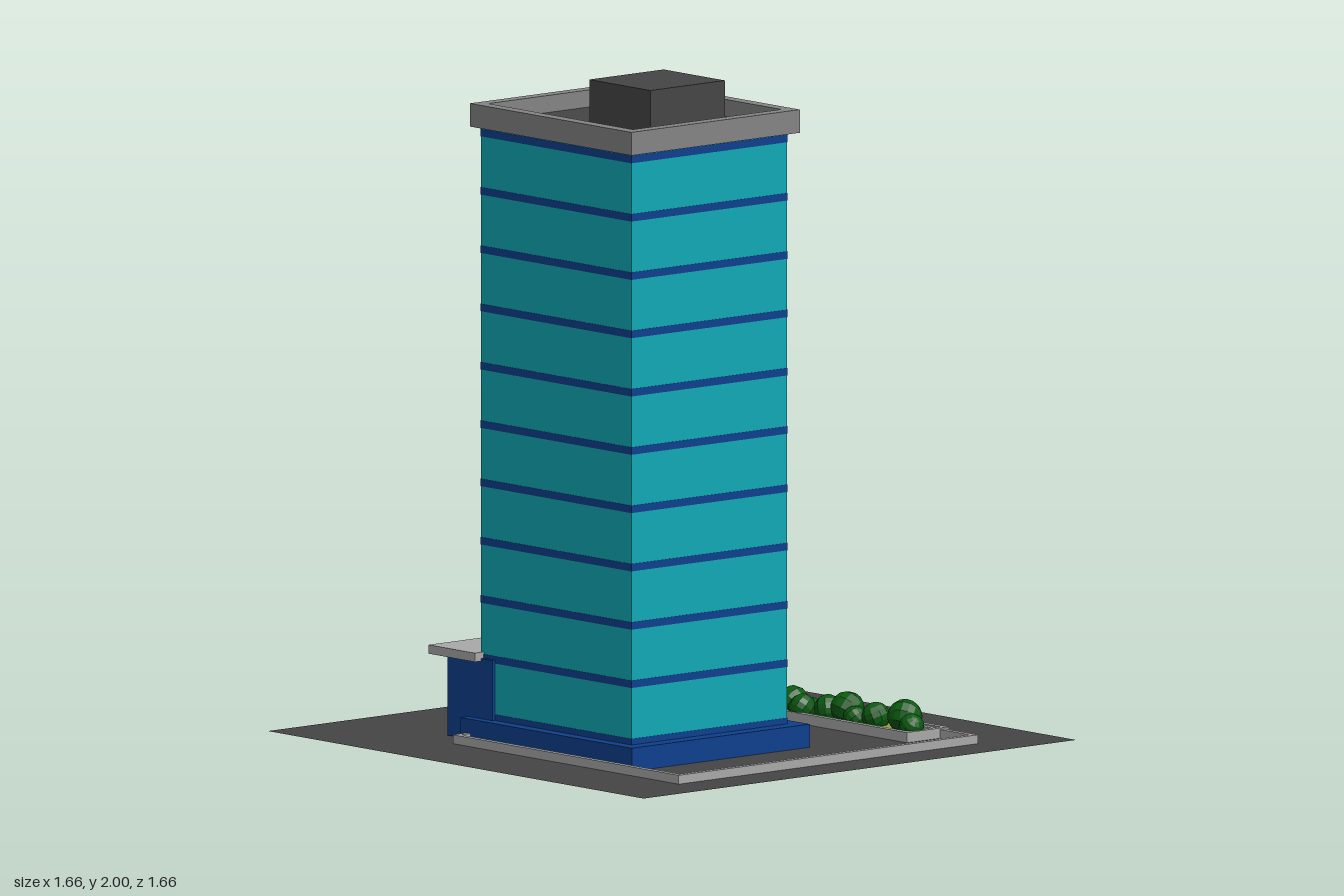
import * as THREE from 'three';

const mat = (name, color, extra = {}) => {
  const m = new THREE.MeshStandardMaterial({ color, ...extra });
  m.name = name;
  return m;
};

export function createModel() {
  const M = {
    asphalt: mat('asphalt', 0x454545, { side: THREE.DoubleSide }),
    concrete: mat('concrete', 0xa9a9a9),
    parapet: mat('parapetGrey', 0x848484),
    glass: mat('tealGlass', 0x0fa9b5),
    blue: mat('blue', 0x0d3f8c),
    soil: mat('soil', 0x969b45),
    leaf: mat('leaf', 0x0a5810, { flatShading: true }),
  };
  const model = new THREE.Group();
  model.name = 'officeTower';

  const group = (name) => {
    const g = new THREE.Group();
    g.name = name;
    model.add(g);
    return g;
  };
  // box given by its extents on each axis
  const box = (parent, name, material, [x0, x1], [y0, y1], [z0, z1]) => {
    const mesh = new THREE.Mesh(new THREE.BoxGeometry(x1 - x0, y1 - y0, z1 - z0), material);
    mesh.position.set((x0 + x1) / 2, (y0 + y1) / 2, (z0 + z1) / 2);
    mesh.name = name;
    parent.add(mesh);
    return mesh;
  };
  // rectangular rim with an open middle, extruded upwards
  const rim = (parent, name, material, [x0, x1], [y0, y1], [z0, z1], t) => {
    const rect = (P, a, b, c, d) => new P([[a, c], [b, c], [b, d], [a, d]].map(p => new THREE.Vector2(...p)));
    const shape = rect(THREE.Shape, x0, x1, -z1, -z0);
    shape.holes.push(rect(THREE.Path, x0 + t, x1 - t, -z1 + t, -z0 - t));
    const geo = new THREE.ExtrudeGeometry(shape, { depth: y1 - y0, bevelEnabled: false });
    geo.rotateX(-Math.PI / 2).translate(0, y0, 0);
    const mesh = new THREE.Mesh(geo, material);
    mesh.name = name;
    parent.add(mesh);
  };

  // ground sheet
  const ground = new THREE.Mesh(new THREE.PlaneGeometry(1.66, 1.66).rotateX(-Math.PI / 2), M.asphalt);
  ground.position.y = 0.04;
  ground.name = 'ground';
  model.add(ground);

  // curb around the plot, with its slab below the ground
  const plot = group('plot');
  rim(plot, 'curb', M.concrete, [-0.303, 0.695], [0.021, 0.066], [-0.57, 0.578], 0.018);
  box(plot, 'plotSlab', M.concrete, [-0.29, 0.68], [0.024, 0.034], [-0.56, 0.565]);

  // tower with a blue band at every floor
  const tower = group('tower');
  const X = [-0.285, 0.38], Z = [-0.112, 0.486];
  box(tower, 'plinth', M.blue, [-0.33, 0.427], [0, 0.108], [-0.158, 0.525]);
  box(tower, 'glassBody', M.glass, X, [0.1, 1.845], Z);
  const e = 0.001;
  for (let i = 0; i <= 10; i++) {
    const y = 0.115 + i * 0.171;
    box(tower, 'floorBand', M.blue, [X[0] - e, X[1] + e], [y - 0.011, y + 0.011], [Z[0] - e, Z[1] + e]);
  }

  // roof, parapet and the plant room open on its right side
  const roof = group('roof');
  rim(roof, 'parapet', M.parapet, [-0.308, 0.406], [1.842, 1.91], [-0.138, 0.508], 0.038);
  box(roof, 'roofDeck', M.asphalt, [-0.29, 0.39], [1.846, 1.86], [-0.12, 0.49]);
  const room = group('plantRoom');
  box(room, 'roomRoof', M.asphalt, [0.015, 0.285], [1.985, 2], [0.045, 0.33]);
  box(room, 'roomCore', M.asphalt, [0.06, 0.285], [1.86, 1.985], [0.045, 0.33]);
  for (const z of [0.045, 0.31])
    box(room, 'roomJamb', M.asphalt, [0.015, 0.06], [1.86, 1.985], [z, z + 0.02]);

  // entrance porch
  const porch = group('porch');
  box(porch, 'canopy', M.concrete, [-0.477, -0.272], [0.277, 0.303], [-0.14, 0.52]);
  for (const z of [-0.116, 0.476])
    box(porch, 'porchWall', M.blue, [-0.42, -0.222], [0.042, 0.285], [z, z + 0.02]);
  box(porch, 'porchFloor', M.concrete, [-0.418, -0.285], [0.042, 0.07], [-0.096, 0.476]);

  // planter with a row of bushes
  const planter = group('planter');
  rim(planter, 'planterWall', M.concrete, [-0.602, 0.548], [0.037, 0.07], [-0.587, -0.425], 0.018);
  box(planter, 'soil', M.soil, [-0.59, 0.535], [0.042, 0.058], [-0.575, -0.437]);
  const bushes = [ // x, z, radius
    [-0.51, -0.5, 0.05], [-0.47, -0.48, 0.032], [-0.43, -0.53, 0.042], [-0.355, -0.495, 0.047],
    [-0.31, -0.53, 0.028], [-0.25, -0.5, 0.048], [-0.18, -0.51, 0.032], [-0.17, -0.465, 0.04],
    [-0.1, -0.525, 0.034], [-0.09, -0.49, 0.034], [-0.04, -0.5, 0.045], [0.035, -0.5, 0.034],
    [0.04, -0.465, 0.04], [0.12, -0.495, 0.042], [0.2, -0.5, 0.05], [0.255, -0.48, 0.035],
    [0.32, -0.505, 0.042], [0.43, -0.52, 0.051], [0.505, -0.48, 0.038],
  ];
  const bushGeo = new THREE.SphereGeometry(1, 10, 8);
  bushes.forEach(([x, z, r], i) => {
    const bush = new THREE.Mesh(bushGeo, M.leaf);
    bush.position.set(x, 0.03 + 1.25 * r, z);
    bush.scale.setScalar(r);
    bush.rotation.set(0.5 * i, 0.9 * i, 0.3 * i);
    bush.name = 'bush';
    planter.add(bush);
  });

  return model;
}
